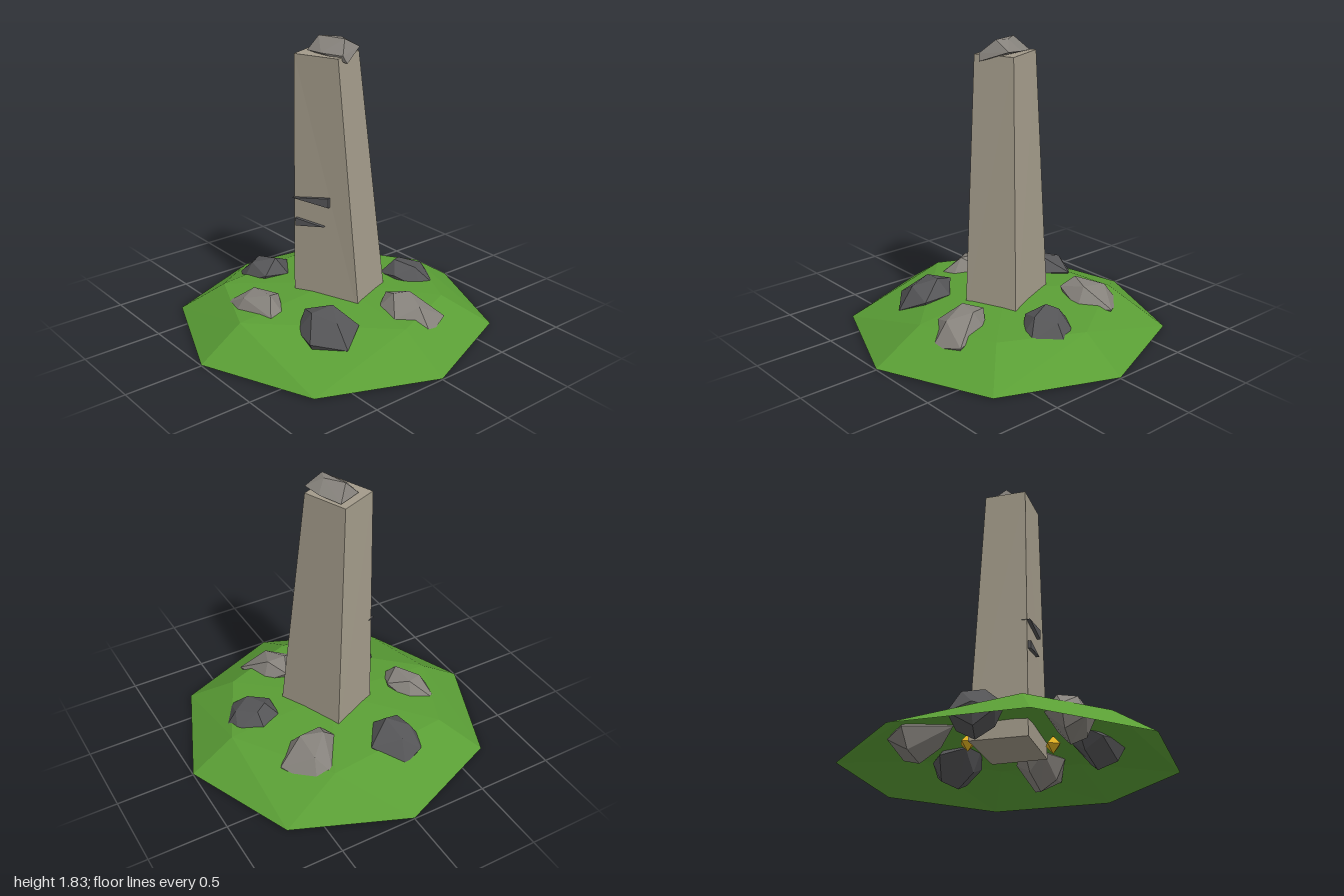
import * as THREE from 'three';
import { ConvexGeometry } from 'three/addons/geometries/ConvexGeometry.js';

const V = (x, y, z) => new THREE.Vector3(x, y, z);
const mat = (color) => new THREE.MeshStandardMaterial({ color, flatShading: true });
const darkStone = mat(0x555557), lightStone = mat(0x86827c);
const pillarStone = mat(0xa39b8a), gold = mat(0xe0b020);
const grass = mat(0x5a9e35);
grass.side = THREE.DoubleSide;

function add(group, name, geometry, material) {
  const mesh = new THREE.Mesh(geometry, material);
  mesh.name = name;
  group.add(mesh);
  return mesh;
}

// Faceted surface from points and triangles
function faceted(points, faces) {
  const g = new THREE.BufferGeometry().setFromPoints(points);
  g.setIndex(faces.flat());
  const flat = g.toNonIndexed();
  flat.computeVertexNormals();
  return flat;
}

// Open octagonal mound: rim, uneven plateau ring and a crown point
function moundGeometry() {
  const points = [];
  for (let i = 0; i < 8; i++) {
    const a = i * Math.PI / 4;
    points.push(V(Math.cos(a), 0.025, Math.sin(a)));
  }
  const plateau = [[0.68, 0], [0, 0.72], [-0.51, 0.5], [-0.6, -0.32], [0, -0.72], [0.49, -0.48]];
  plateau.forEach(([x, z]) => points.push(V(x, 0.21, z)));
  points.push(V(0, 0.265, 0));
  const faces = [
    [0, 8, 1], [1, 8, 9], [1, 9, 2], [2, 9, 3], [3, 9, 10], [3, 10, 4], [4, 10, 11],
    [4, 11, 5], [5, 11, 12], [5, 12, 6], [6, 12, 7], [7, 12, 13], [7, 13, 0], [0, 13, 8],
  ];
  for (let i = 0; i < 6; i++) faces.push([14, 8 + (i + 1) % 6, 8 + i]);
  return faceted(points, faces);
}

// Twisted, tapering four-sided pillar: left, front, right, back corners
function pillarGeometry() {
  const base = [[-0.26, -0.1], [-0.115, 0.225], [0.3, 0.04], [0.17, -0.285]];
  const top = [[-0.21, -0.03], [-0.11, 0.21], [0.165, 0.1], [0.065, -0.14]];
  const points = [
    ...base.map(([x, z]) => V(x, 0.14, z)),
    ...top.map(([x, z]) => V(x, 1.76, z)),
  ];
  const faces = [[4, 5, 6], [4, 6, 7], [0, 2, 1], [0, 3, 2]];
  for (let i = 0; i < 4; i++) {
    const j = (i + 1) % 4;
    // The front side is split along the other diagonal
    if (i === 1) faces.push([i, j, i + 4], [j, j + 4, i + 4]);
    else faces.push([i, j, j + 4], [i, j + 4, i + 4]);
  }
  return faceted(points, faces);
}

// Boulder from its plan outline, leaning down the slope of the mound
function boulderGeometry(outline) {
  const n = outline.length;
  const cx = outline.reduce((s, p) => s + p[0], 0) / n;
  const cz = outline.reduce((s, p) => s + p[1], 0) / n;
  const at = (x, z, lift) => V(x, 0.205 + 0.25 * (0.53 - Math.hypot(x, z)) + lift, z);
  const points = [at(cx, cz, -0.18)];
  outline.forEach(([x, z], i) => {
    const wobble = i % 2 ? 0.02 : -0.02;
    points.push(at(x, z, wobble));
    const ring = (s, lift) => at(cx + (x - cx) * s, cz + (z - cz) * s, lift);
    if (i % 2 === 0) points.push(ring(0.5, 0.095));
    else points.push(ring(0.65, -0.11));
  });
  return new ConvexGeometry(points);
}

// Wedge-shaped notch lying on the pillar's front side
function notchGeometry(corners) {
  const points = [];
  for (const [x, y] of corners) {
    const z = 0.24 - 0.44 * (x + 0.11);
    points.push(V(x, y, z), V(x - 0.02, y, z - 0.05));
  }
  return new ConvexGeometry(points);
}

export function createModel() {
  const model = new THREE.Group();
  model.name = 'standingStone';

  add(model, 'grassMound', moundGeometry(), grass);
  add(model, 'pillar', pillarGeometry(), pillarStone);

  // Broken stone on top of the pillar
  add(model, 'capStone', new ConvexGeometry([
    V(-0.16, 1.765, -0.03), V(-0.1, 1.77, 0.12), V(0.03, 1.775, 0.12), V(0.175, 1.725, 0.04),
    V(0.16, 1.77, 0.06), V(0.09, 1.79, -0.125), V(-0.03, 1.78, -0.1),
    V(-0.09, 1.85, 0.04), V(0.09, 1.85, -0.01), V(0.02, 1.85, -0.04),
  ]), lightStone);

  // Notches cut across the front
  add(model, 'upperNotch', notchGeometry([[-0.11, 0.865], [0.12, 0.84], [0.12, 0.9]]), darkStone);
  add(model, 'lowerNotch', notchGeometry([[-0.09, 0.685], [0.09, 0.71], [-0.09, 0.735]]), darkStone);

  // Ring of boulders, alternating dark and light
  const outlines = [
    [[-0.06, -0.51], [0.04, -0.66], [0.15, -0.72], [0.31, -0.58], [0.3, -0.48], [0.17, -0.37], [0.02, -0.37]],
    [[0.41, -0.29], [0.65, -0.35], [0.72, -0.17], [0.56, -0.02], [0.38, -0.05], [0.32, -0.16]],
    [[0.3, 0.2], [0.49, 0.2], [0.58, 0.36], [0.44, 0.53], [0.25, 0.48], [0.17, 0.36]],
    [[-0.26, 0.45], [-0.09, 0.37], [0.08, 0.45], [0.08, 0.55], [-0.17, 0.67], [-0.32, 0.61]],
    [[-0.69, 0.13], [-0.53, -0.02], [-0.34, 0.11], [-0.37, 0.27], [-0.54, 0.34], [-0.65, 0.27]],
    [[-0.58, -0.43], [-0.37, -0.57], [-0.21, -0.43], [-0.25, -0.23], [-0.32, -0.16], [-0.58, -0.32]],
  ];
  outlines.forEach((outline, i) =>
    add(model, 'boulder' + (i + 1), boulderGeometry(outline), i % 2 ? lightStone : darkStone));

  // Gold nuggets buried beside the pillar's foot
  for (const [x, z] of [[0.2, 0.16], [-0.15, -0.2]]) {
    add(model, 'goldNugget', new THREE.OctahedronGeometry(0.055), gold).position.set(x, 0.18, z);
  }
  return model;
}
